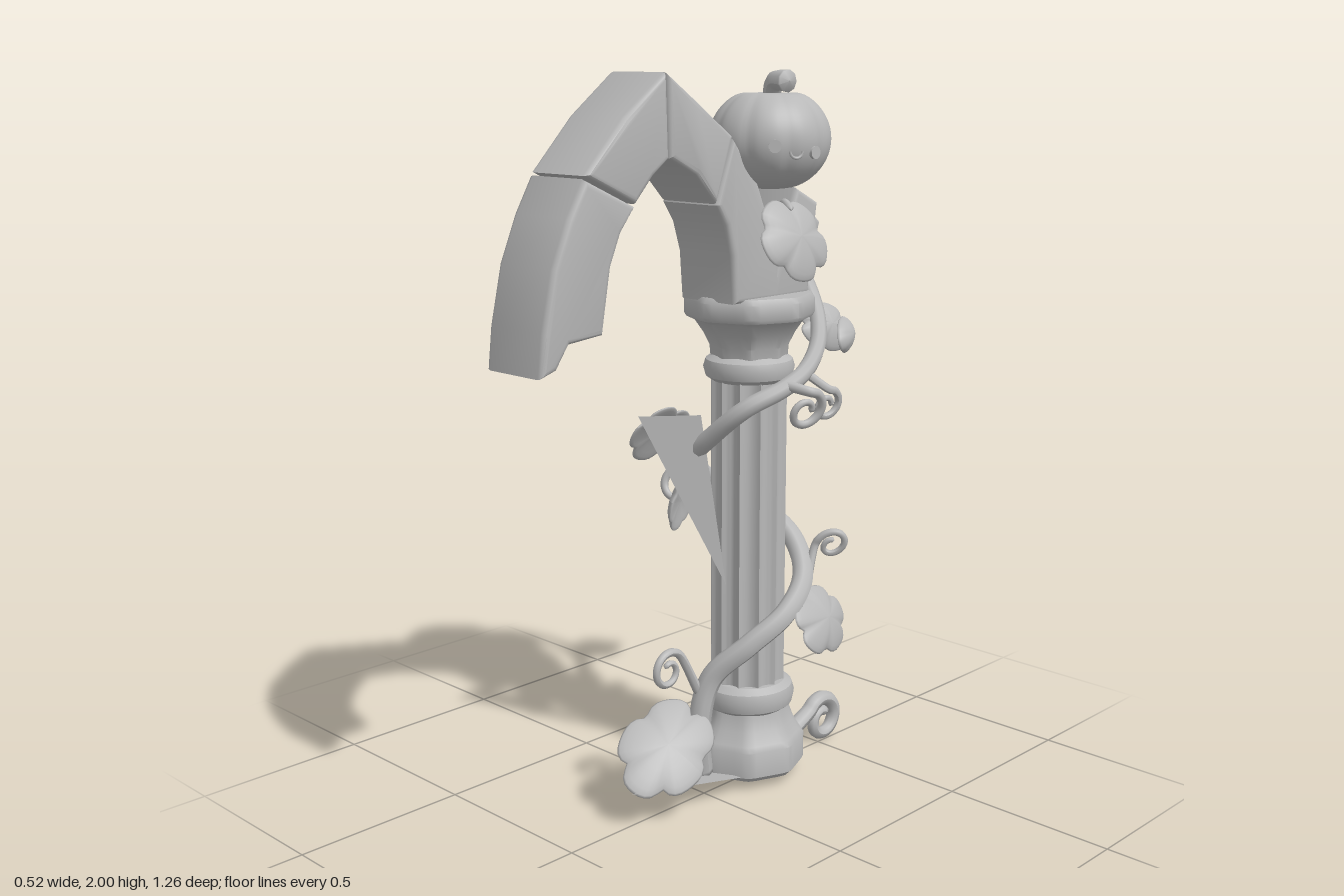
import * as THREE from 'three';
import { toCreasedNormals } from 'three/addons/utils/BufferGeometryUtils.js';

const stone = new THREE.MeshStandardMaterial({ color: 0xb8b8b8, side: THREE.DoubleSide });
stone.name = 'stone grey';
const V = (x, y, z) => new THREE.Vector3(x, y, z);
const AX = -0.03, AZ = -0.21; // column axis

function add(parent, name, geometry, x = 0, y = 0, z = 0) {
  const mesh = new THREE.Mesh(geometry, stone);
  mesh.name = name;
  mesh.position.set(x, y, z);
  parent.add(mesh);
  return mesh;
}

// Moves every vertex by a rule, then refreshes the normals
function deform(geo, rule) {
  const p = geo.attributes.position, v = V(0, 0, 0);
  for (let i = 0; i < p.count; i++) {
    rule(v.fromBufferAttribute(p, i), i);
    p.setXYZ(i, v.x, v.y, v.z);
  }
  geo.computeVertexNormals();
  return geo;
}

const lathe = (pts, sides) =>
  toCreasedNormals(new THREE.LatheGeometry(pts.map(([r, y]) => new THREE.Vector2(r, y)), sides), 0.6);

// Softened eight-sided lathe: the corners of each ring are slightly rounded
function roundedOctagon(pts) {
  const geo = new THREE.LatheGeometry(pts.map(([r, y]) => new THREE.Vector2(r, y)), 48);
  deform(geo, v => {
    const step = Math.PI / 4, a = Math.atan2(v.x, v.z);
    const off = a - (Math.floor(a / step) + 0.5) * step; // angle from the middle of a side
    const k = Math.min(0.98, Math.cos(step / 2) / Math.cos(off));
    v.x *= k;
    v.z *= k;
  });
  return toCreasedNormals(geo, 0.6);
}

// Round tube whose radius narrows from r0 to r1, with closed ends
function taperedTube(points, r0, r1, segs = 60) {
  const curve = new THREE.CatmullRomCurve3(points);
  const geo = new THREE.TubeGeometry(curve, segs, 1, 9);
  return deform(geo, (v, i) => {
    const t = Math.floor(i / 10) / segs, c = curve.getPointAt(t);
    const r = t === 1 || t === 0 ? 0.001 : r0 + (r1 - r0) * t;
    v.sub(c).multiplyScalar(r).add(c);
  });
}

// Spiral tendril from start to a coil in the plane of u and v
function tendril(start, centre, u, v, r, thick) {
  const pts = [start];
  for (let i = 0; i <= 18; i++) {
    const a = (i / 18) * 2.6 * Math.PI, k = r * (1 - 0.7 * i / 18);
    pts.push(centre.clone().addScaledVector(u, k * Math.cos(a)).addScaledVector(v, k * Math.sin(a)));
  }
  return taperedTube(pts, thick, thick * 0.6, 70);
}

// Lobed, gently cupped leaf
function leaf(tip, normal, length, width, lobing) {
  const geo = new THREE.SphereGeometry(1, 48, 12).rotateX(Math.PI / 2);
  deform(geo, v => {
    const a = Math.atan2(v.x, v.y), r2 = v.x * v.x + v.y * v.y;
    const lobe = 1 - lobing * (1 - Math.abs(Math.cos(2.5 * a))) ** 2;
    v.set(v.x * lobe * width, v.y * lobe * length, v.z * 0.014 - r2 * 0.018);
  });
  const n = normal.clone().normalize();
  const t = tip.clone().addScaledVector(n, -tip.dot(n)).normalize();
  return geo.applyMatrix4(new THREE.Matrix4().makeBasis(t.clone().cross(n), t, n));
}

// Bevelled masonry block from a side outline of [z, y] corners
function block(outline, width = 0.21) {
  const b = 0.016;
  const shape = new THREE.Shape(outline.map(([z, y]) => new THREE.Vector2(z, y)));
  const geo = new THREE.ExtrudeGeometry(shape, {
    depth: width - 2 * b, bevelEnabled: true, bevelSize: b, bevelThickness: b, bevelOffset: -b, bevelSegments: 3,
  });
  geo.translate(0, 0, b - width / 2).rotateY(-Math.PI / 2);
  return toCreasedNormals(geo, 0.6);
}

function sheet(a, b, c) {
  const geo = new THREE.BufferGeometry().setFromPoints([a, b, c]);
  geo.computeVertexNormals();
  return geo;
}

function createColumn() {
  const g = new THREE.Group();
  g.name = 'column';
  g.position.set(AX, 0, AZ);
  add(g, 'base', roundedOctagon([[0, 0.025], [0.155, 0.025], [0.17, 0.04], [0.17, 0.115], [0.16, 0.13], [0.138, 0.165],
    [0.125, 0.2], [0.12, 0.23], [0, 0.23]]));
  const ring = [[0, -0.045], [0.11, -0.045], [0.13, -0.03], [0.137, 0], [0.13, 0.025], [0.11, 0.04], [0, 0.04]];
  add(g, 'baseRing', lathe(ring, 32), 0, 0.25);
  // Fluted shaft
  const shaft = new THREE.CylinderGeometry(1, 1, 0.93, 96, 1, true);
  deform(shaft, v => {
    const r = 0.108 - 0.015 * Math.abs(Math.sin(6 * Math.atan2(v.x, v.z))) ** 0.7;
    v.x *= r;
    v.z *= r;
  });
  add(g, 'shaft', toCreasedNormals(shaft, 0.7), 0, 0.735);
  const collar = add(g, 'collar', lathe(ring, 32), 0, 1.205);
  collar.scale.set(0.93, 0.85, 0.93);
  add(g, 'capital', roundedOctagon([[0, 1.2], [0.108, 1.22], [0.112, 1.265], [0.13, 1.3], [0.155, 1.335], [0.178, 1.345],
    [0.184, 1.355], [0.184, 1.395], [0.174, 1.41], [0, 1.41]]));
  return g;
}

function createArch() {
  const g = new THREE.Group();
  g.name = 'brokenArch';
  g.position.x = AX;
  const blocks = {
    archTip: [[0.627, 1.292], [0.615, 1.4], [0.58, 1.55], [0.53, 1.665], [0.477, 1.755], [0.312, 1.68], [0.36, 1.62], [0.395, 1.54],
      [0.425, 1.375], [0.535, 1.365], [0.575, 1.308]],
    archShoulder: [[0.474, 1.762], [0.345, 1.895], [0.205, 2], [0.195, 1.79], [0.25, 1.75], [0.31, 1.686]],
    archCrown: [[0.203, 2], [0.09, 1.925], [-0.035, 1.838], [0.026, 1.668], [0.1, 1.745], [0.193, 1.79]],
    archFoot: [[-0.035, 1.834], [-0.13, 1.72], [-0.2, 1.56], [-0.225, 1.4], [-0.045, 1.4], [-0.035, 1.53], [-0.01, 1.61], [0.026, 1.664]],
    rearStub: [[-0.19, 1.4], [-0.22, 1.54], [-0.285, 1.695], [-0.375, 1.65], [-0.34, 1.4]],
  };
  for (const [name, outline] of Object.entries(blocks)) add(g, name, block(outline));
  add(g, 'rearStubEdge', block([[-0.32, 1.4], [-0.35, 1.64], [-0.4, 1.62], [-0.435, 1.59], [-0.375, 1.4]], 0.13));
  return g;
}

function createPumpkin() {
  const g = new THREE.Group();
  g.name = 'pumpkin';
  g.position.set(0.04, 1.825, AZ);
  // Softly ribbed body, dimpled at the top
  const body = deform(new THREE.SphereGeometry(1, 80, 32), v => {
    const d = Math.hypot(v.x, v.z);
    const rib = 1 - 0.045 * (1 - Math.abs(Math.sin(4.5 * Math.atan2(v.z, v.x) + 0.8))) ** 2;
    const dimple = (v.y > 0 ? 0.3 : 0.08) * Math.exp(-d * d * 9);
    v.set(v.x * rib * 0.163, v.y * (1 - dimple) * 0.14, v.z * rib * 0.163);
  });
  add(g, 'body', body);
  add(g, 'stem', taperedTube([V(0, 0.07, 0), V(0.005, 0.115, 0), V(0.025, 0.148, 0.01), V(0.085, 0.15, 0.02)], 0.021, 0.03, 20));
  // Face
  const onSkin = (mesh, a) => {
    mesh.position.set(Math.cos(a) * 0.161, mesh.position.y, Math.sin(a) * 0.161);
    mesh.rotation.y = Math.PI / 2 - a;
  };
  for (const [a, y] of [[0.76, -0.012], [0.03, -0.03]]) {
    onSkin(add(g, 'eye', new THREE.CylinderGeometry(0.017, 0.017, 0.009, 20).rotateX(Math.PI / 2), 0, y), a);
  }
  onSkin(add(g, 'mouth', new THREE.TorusGeometry(0.018, 0.004, 6, 16, Math.PI).rotateZ(Math.PI), 0, -0.025), 0.4);
  return g;
}

function createVine() {
  const g = new THREE.Group();
  g.name = 'vine';
  const path = [
    [-0.03, 0.04, -0.02], [-0.02, 0.2, 0], [0, 0.34, -0.03], [0.08, 0.44, -0.1], [0.125, 0.52, -0.2],
    [0.1, 0.6, -0.3], [0.02, 0.69, -0.345], [-0.08, 0.76, -0.33], [-0.155, 0.83, -0.24], [-0.16, 0.9, -0.14],
    [-0.11, 0.96, -0.075], [-0.03, 1.03, -0.07], [0.06, 1.11, -0.1], [0.11, 1.16, -0.2], [0.11, 1.2, -0.29],
    [0.06, 1.27, -0.4], [-0.02, 1.37, -0.465], [-0.1, 1.5, -0.45], [-0.16, 1.58, -0.38], [-0.17, 1.6, -0.28], [-0.15, 1.58, -0.2],
  ].map(p => V(...p));
  add(g, 'mainStem', taperedTube(path, 0.034, 0.02, 220));
  add(g, 'leafStalk', taperedTube([V(0.05, 1.6, -0.26), V(0.1, 1.66, -0.2), V(0.17, 1.65, -0.15)], 0.012, 0.01, 16));

  // Leaves: centre, tip direction, facing, half length, half width, depth of lobes
  const leaves = [
    [[0.01, 0.195, 0.155], [0.2, -0.35, 0.9], [0.6, 0.7, 0.3], 0.165, 0.125, 0.22],
    [[0.15, 0.475, -0.345], [-0.3, -0.05, -0.9], [0.83, 0.45, -0.3], 0.16, 0.1, 0.22],
    [[0.232, 1.31, -0.325], [0.4, -0.3, 0.8], [0.85, 0.2, -0.45], 0.068, 0.045, 0.05],
    [[-0.005, 1.285, -0.525], [0, -0.25, -1], [0.9, 0.4, 0], 0.108, 0.075, 0.22],
    [[0.2, 1.58, -0.145], [0.3, -0.9, 0.1], [0.9, 0.4, 0], 0.115, 0.125, 0.22],
    [[-0.205, 1.025, -0.02], [-0.5, -0.7, 0.3], [-0.8, 0.5, -0.1], 0.1, 0.1, 0.2],
    [[-0.165, 0.82, -0.06], [0, -1, 0.2], [-1, 0.2, 0.2], 0.085, 0.055, 0.15],
    [[-0.195, 1.57, -0.23], [-0.3, -0.9, 0], [-0.88, 0.4, 0], 0.115, 0.105, 0.22],
  ];
  for (const [c, tip, normal, ...size] of leaves) add(g, 'leaf', leaf(V(...tip), V(...normal), ...size), ...c);

  // Tendrils: start, coil centre, coil axes, radius, thickness
  const curls = [
    [[-0.02, 0.3, 0], [-0.03, 0.39, 0.11], [0, 0.5, -0.87], [0, 0.87, 0.5], 0.058, 0.014],
    [[0.1, 0.58, -0.32], [0.13, 0.68, -0.39], [-0.7, 0, 0.7], [0.3, 0.95, 0], 0.048, 0.013],
    [[0.11, 1.17, -0.2], [0.16, 1.1, -0.23], [0.3, 0.95, 0], [0.3, 0, -0.95], 0.058, 0.015],
    [[0.1, 1.2, -0.28], [0.15, 1.1, -0.33], [0.2, 0.95, 0], [0.2, 0, -0.98], 0.048, 0.013],
    [[-0.16, 0.88, -0.18], [-0.21, 0.845, -0.12], [0.4, 0.75, -0.5], [-0.8, 0.5, 0.2], 0.06, 0.014],
    [[-0.16, 1.58, -0.35], [-0.2, 1.55, -0.3], [0.4, 0.9, 0], [-0.7, 0, 0.7], 0.055, 0.013],
    [[-0.01, 0.045, -0.33], [-0.01, 0.066, -0.525], [0, 0.55, 0.83], [0, 0.83, -0.55], 0.073, 0.027],
  ];
  for (const [s, c, u, v, r, t] of curls) add(g, 'tendril', tendril(V(...s), V(...c), V(...u), V(...v), r, t));

  // Thin webs between leaves and column
  add(g, 'upperWeb', sheet(V(-0.18, 1.08, 0.073), V(-0.07, 1.08, -0.06), V(-0.02, 0.59, -0.11)));
  add(g, 'lowerWeb', sheet(V(0.03, 0.11, 0.31), V(-0.07, 0.03, -0.08), V(0.08, 0.05, -0.07)));
  return g;
}

export function createModel() {
  const model = new THREE.Group();
  model.name = 'vineColumn';
  model.add(createColumn(), createArch(), createPumpkin(), createVine());
  return model;
}
